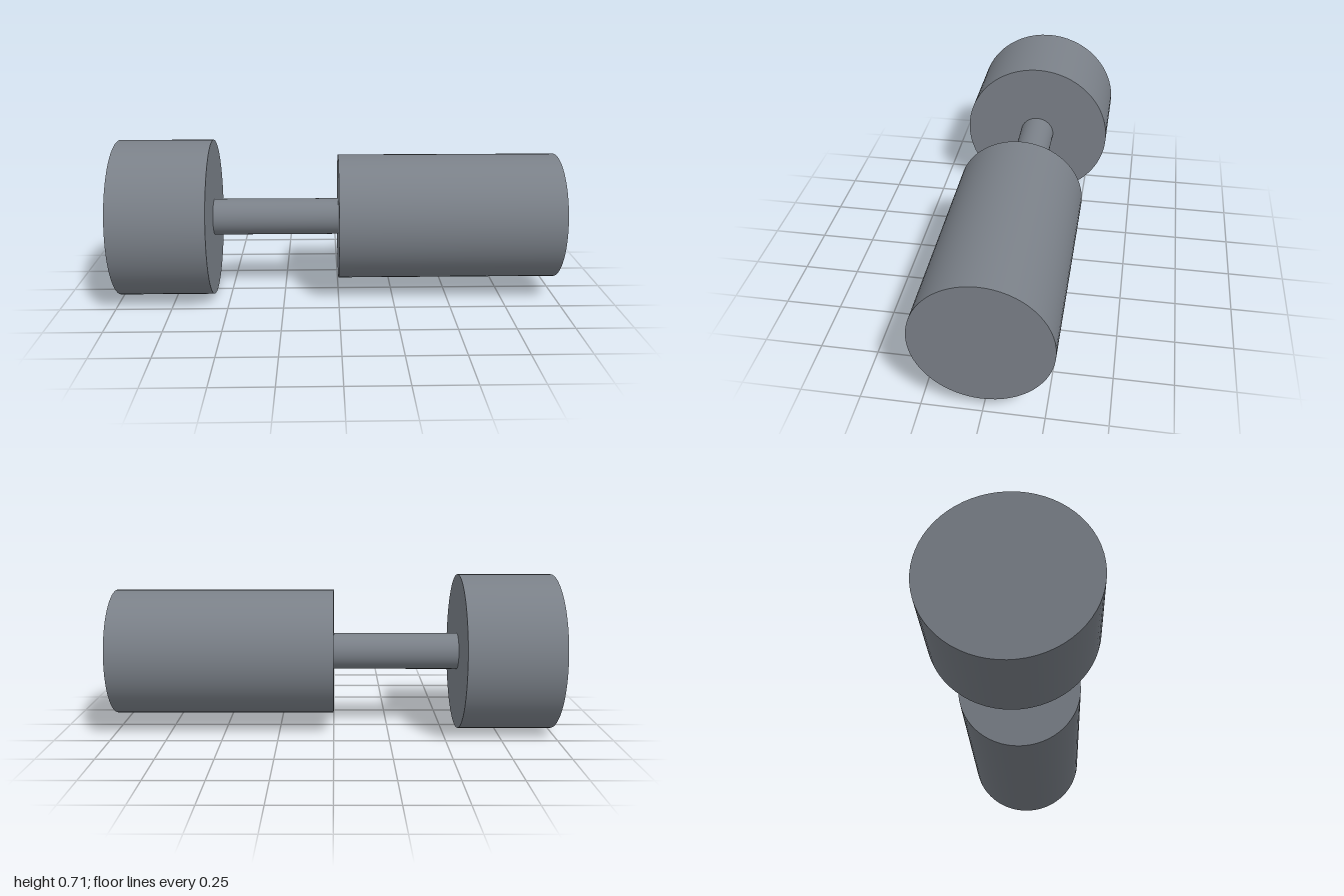
import * as THREE from 'three';

const AXIS_HEIGHT = 0.357;

export function createModel() {
  const group = new THREE.Group();
  const material = new THREE.MeshStandardMaterial({ color: 0x7a8088 });

  // Solid cylinder along x, between x0 and x1
  const addCylinder = (name, radius, x0, x1) => {
    const geometry = new THREE.CylinderGeometry(radius, radius, x1 - x0, 64);
    geometry.rotateZ(-Math.PI / 2);
    const mesh = new THREE.Mesh(geometry, material);
    mesh.name = name;
    mesh.position.set((x0 + x1) / 2, AXIS_HEIGHT, 0);
    group.add(mesh);
  };

  addCylinder('head', 0.357, -1, -0.572);
  addCylinder('shaft', 0.083, -0.572, 0);
  addCylinder('body', 0.286, 0, 1);

  return group;
}
